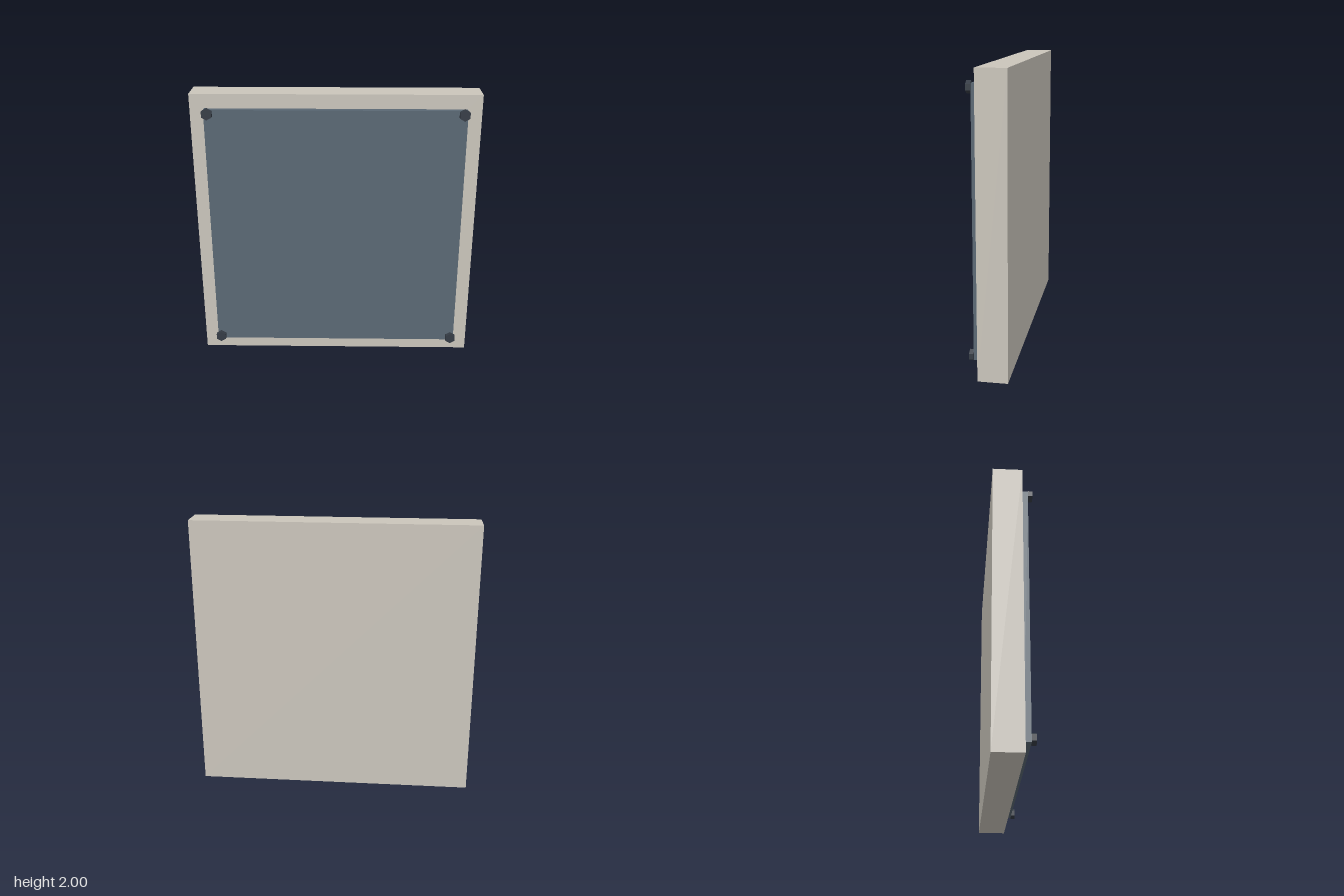
import * as THREE from 'three';

const material = (color) => new THREE.MeshStandardMaterial({ color, flatShading: true });

function addMesh(parent, name, geometry, mat, x, y, z) {
  const mesh = new THREE.Mesh(geometry, mat);
  mesh.name = name;
  mesh.position.set(x, y, z);
  parent.add(mesh);
  return mesh;
}

export function createModel() {
  const model = new THREE.Group();
  model.name = 'boltedWallPanel';

  const slabDepth = 0.2, plateDepth = 0.045, boltDepth = 0.03;
  const back = -(slabDepth + plateDepth + boltDepth) / 2;
  const slabFront = back + slabDepth;
  const plateFront = slabFront + plateDepth;

  // Thick backing slab
  addMesh(model, 'slab', new THREE.BoxGeometry(2, 2, slabDepth),
    material(0xcac5bb), 0, 1, back + slabDepth / 2);

  // Metal plate on the front face
  addMesh(model, 'plate', new THREE.BoxGeometry(1.8, 1.8, plateDepth),
    material(0x5a6874), 0, 1, slabFront + plateDepth / 2);

  // Hexagonal bolt heads at the plate corners, corners pointing up and down
  const boltGeometry = new THREE.CylinderGeometry(0.04, 0.04, boltDepth, 6).rotateX(Math.PI / 2);
  const boltMaterial = material(0x353c45);
  for (const [side, x] of [['Left', 0.875], ['Right', -0.875]]) {
    for (const [level, y] of [['upper', 1.875], ['lower', 0.125]]) {
      addMesh(model, `${level}${side}Bolt`, boltGeometry, boltMaterial, x, y, plateFront + boltDepth / 2);
    }
  }

  return model;
}
